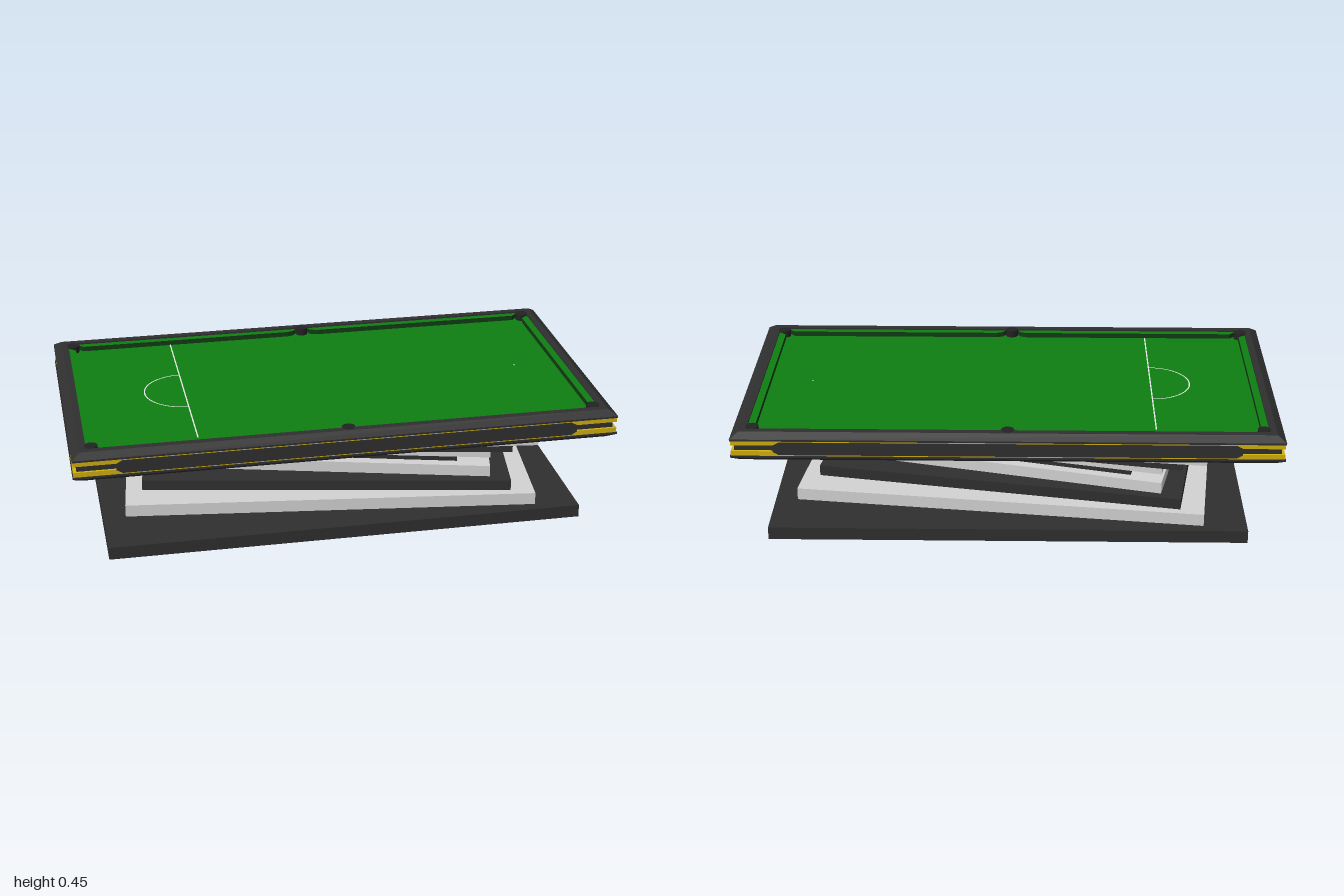
import * as THREE from 'three';

const mat = (name, color, opts = {}) => {
  const m = new THREE.MeshStandardMaterial({ color, ...opts });
  m.name = name;
  return m;
};

// Upright prism over an [x, z] outline
function prism(points, y, height) {
  const shape = new THREE.Shape(points.map(([x, z]) => new THREE.Vector2(x, -z)));
  return new THREE.ExtrudeGeometry(shape, { depth: height, bevelEnabled: false })
    .rotateX(-Math.PI / 2).translate(0, y, 0);
}

// Flat-sided skin through rectangles given as [halfX, halfZ, y]
function rectLoft(rings) {
  const corner = ([x, z, y], i) => [[-x, y, z], [x, y, z], [x, y, -z], [-x, y, -z]][i % 4];
  const pos = [];
  for (let r = 0; r < rings.length - 1; r++) {
    for (let i = 0; i < 4; i++) {
      const a = corner(rings[r], i), b = corner(rings[r], i + 1);
      const c = corner(rings[r + 1], i + 1), d = corner(rings[r + 1], i);
      pos.push(...a, ...b, ...c, ...a, ...c, ...d);
    }
  }
  const g = new THREE.BufferGeometry();
  g.setAttribute('position', new THREE.Float32BufferAttribute(pos, 3));
  g.computeVertexNormals();
  return g;
}

export function createModel() {
  const model = new THREE.Group();
  model.name = 'billiardTable';
  const dark = mat('charcoal', 0x2f2f30);
  const light = mat('lightGrey', 0xd2d2d2);
  const gold = mat('gold', 0xd2b010);
  const green = mat('greenCloth', 0x0f7f12);
  const shade = mat('cushionEdge', 0x123a14);
  const white = mat('whiteLine', 0xffffff, { side: THREE.DoubleSide });
  const black = mat('pocketBlack', 0x222222);

  const add = (name, geometry, material) => {
    const mesh = new THREE.Mesh(geometry, material);
    mesh.name = name;
    model.add(mesh);
    return mesh;
  };
  const slab = (name, hx, hz, y0, y1, material) =>
    add(name, new THREE.BoxGeometry(2 * hx, y1 - y0, 2 * hz).translate(0, (y0 + y1) / 2, 0), material);

  // Pedestal: base plate and a twisted stack, mirrored above its waist
  slab('basePlate', 0.886, 0.5, 0, 0.048, dark);
  const layers = [ // front corner x, z; right corner x, z; bottom, top
    [0.725, 0.46, 0.803, -0.27, 0.048, 0.094, light],
    [0.64, 0.418, 0.728, -0.155, 0.094, 0.135, dark],
    [0.57, 0.37, 0.657, -0.052, 0.135, 0.178, light],
    [0.458, 0.302, 0.535, -0.042, 0.178, 0.213, dark],
    [0.57, 0.367, 0.657, -0.06, 0.213, 0.255, light],
    [0.64, 0.418, 0.728, -0.155, 0.255, 0.295, dark],
    [0.725, 0.46, 0.803, -0.27, 0.295, 0.335, light],
  ];
  layers.forEach(([ax, az, bx, bz, y0, y1, m], i) =>
    add('twistedLayer' + (i + 1), prism([[ax, az], [bx, bz], [-ax, -az], [-bx, -bz]], y0, y1 - y0), m));

  // Table body: bevelled underside, recessed core, gold bands, bevelled rail
  add('lowerBody', rectLoft([[0, 0, 0.335], [0.965, 0.513, 0.335], [1, 0.54, 0.354],
    [1, 0.54, 0.361], [0.95, 0.5, 0.361]]), dark);
  slab('recessedCore', 0.985, 0.528, 0.36, 0.412, dark);
  slab('lowerGoldBand', 0.997, 0.537, 0.361, 0.379, gold);
  slab('upperGoldBand', 0.997, 0.537, 0.402, 0.419, gold);
  add('topRail', rectLoft([[0.95, 0.5, 0.419], [1, 0.54, 0.419], [1, 0.54, 0.426],
    [0.97, 0.513, 0.446], [0.945, 0.486, 0.446], [0.945, 0.486, 0.418]]), dark);

  // Chamfered panels across the middle of each side
  const panel = (name, half, distance, turn) => {
    const s = new THREE.Shape([[-half, -0.012], [-half + 0.022, -0.0245], [half - 0.022, -0.0245], [half, -0.012],
      [half, 0.012], [half - 0.022, 0.0245], [-half + 0.022, 0.0245], [-half, 0.012]]
      .map(([x, y]) => new THREE.Vector2(x, y)));
    const g = new THREE.ExtrudeGeometry(s, { depth: 0.02, bevelEnabled: false });
    add(name, g.translate(0, 0.39, distance - 0.02).rotateY(turn), dark);
  };
  for (const k of [0, 1]) {
    panel(k ? 'backPanel' : 'frontPanel', 0.845, 0.54, k * Math.PI);
    panel(k ? 'rightPanel' : 'leftPanel', 0.385, 1, Math.PI / 2 + k * Math.PI);
  }

  // Playing bed and six cushions
  slab('bed', 0.946, 0.487, 0.4, 0.421, green);
  const cloth = [green, shade];
  for (const s of [-1, 1]) {
    for (const t of [-1, 1]) {
      add('longCushion', prism([[0.025, 0.486], [0.035, 0.468], [0.06, 0.459], [0.885, 0.459], [0.912, 0.486]]
        .map(([x, z]) => [x * s, z * t]), 0.421, 0.019), cloth);
    }
    add('endCushion', prism([[0.945, 0.453], [0.918, 0.426], [0.918, -0.426], [0.945, -0.453]]
      .map(([x, z]) => [x * s, z]), 0.421, 0.019), cloth);
  }

  // Pockets at corners and side middles
  for (const x of [-0.926, 0, 0.926]) {
    for (const z of [-1, 1]) {
      const g = new THREE.CylinderGeometry(0.024, 0.024, 0.026, 16);
      add('pocket', g.translate(x, 0.434, z * (x ? 0.464 : 0.481)), black);
    }
  }

  // White markings on the cloth
  const flat = (name, g, x) => add(name, g.rotateX(-Math.PI / 2).translate(x, 0.4225, 0), white);
  flat('baulkLine', new THREE.PlaneGeometry(0.005, 0.916), -0.54);
  flat('baulkArc', new THREE.RingGeometry(0.147, 0.152, 40, 1, Math.PI / 2, Math.PI), -0.54);
  flat('ballSpot', new THREE.CircleGeometry(0.004, 10), 0.76);

  return model;
}
